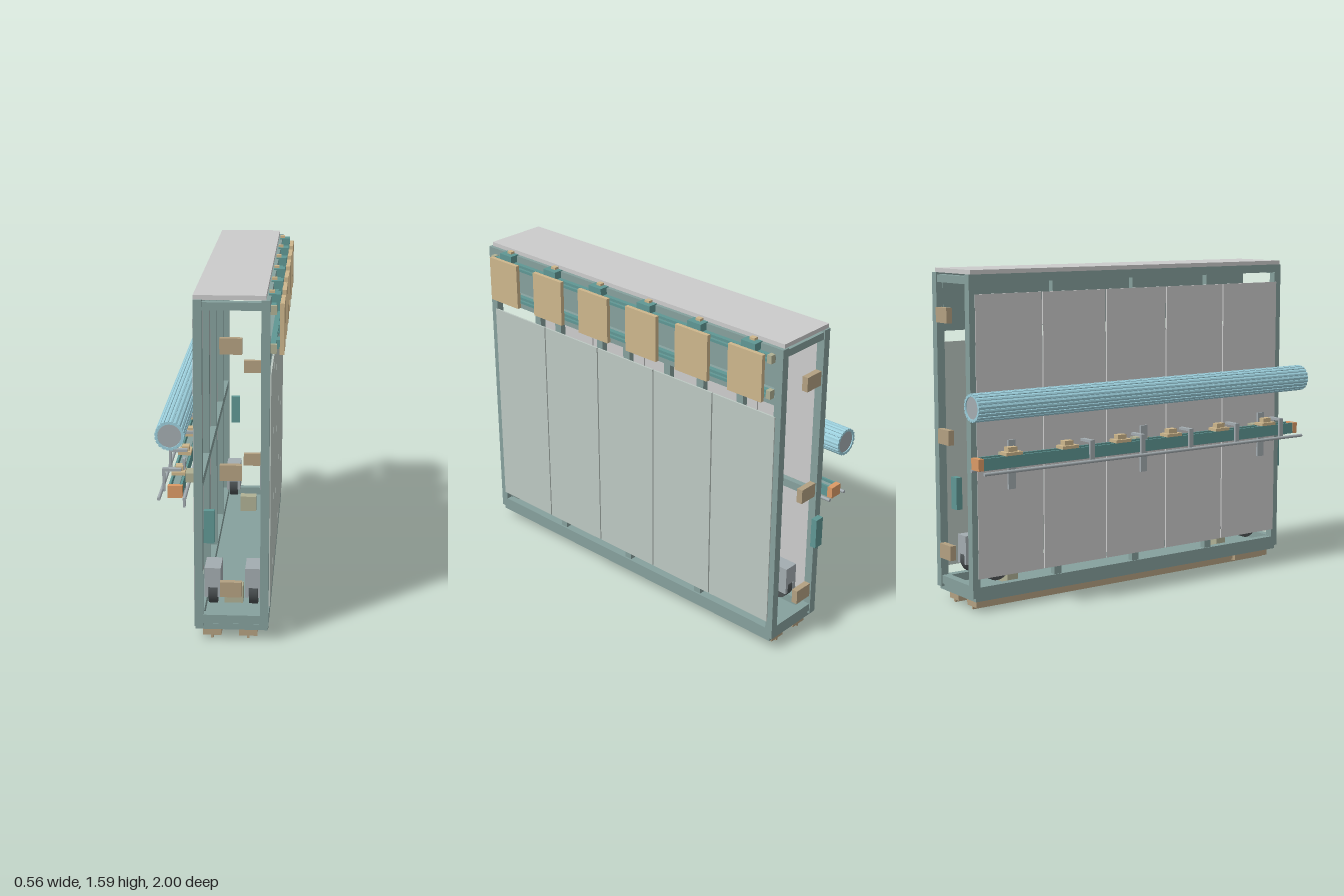
import * as THREE from 'three';

const mats = {};
const mat = (color) => (mats[color] ??= new THREE.MeshStandardMaterial({ color, side: THREE.DoubleSide }));
const FRAME = 0x86a09d, ROOF = 0xd0d4d1, PALE = 0xbcc8c2, GREY = 0xcccccc, TEAL = 0x5f9794,
  TAN = 0xcdb68c, BROWN = 0xb3a081, OLIVE = 0xafb094, BLUE = 0x9ccfdc, ORANGE = 0xdb9a66,
  STEEL = 0xa3acb0, DARK = 0x4c5254;

export function createModel() {
  const root = new THREE.Group();
  const group = (name) => {
    const g = new THREE.Group();
    g.name = name;
    root.add(g);
    return g;
  };
  // Box given by its limits on each axis
  const box = (parent, name, color, x0, x1, y0, y1, z0, z1) => {
    const m = new THREE.Mesh(new THREE.BoxGeometry(x1 - x0, y1 - y0, z1 - z0), mat(color));
    m.position.set((x0 + x1) / 2, (y0 + y1) / 2, (z0 + z1) / 2);
    m.name = name;
    parent.add(m);
  };
  const ends = [-1, 1];
  // Same box at both ends, z given as centre and half size
  const endBoxes = (parent, name, color, x0, x1, y0, y1, z, h) =>
    ends.forEach((s) => box(parent, name, color, x0, x1, y0, y1, s * z - h, s * z + h));
  const stations = [-0.78, -0.467, -0.156, 0.156, 0.467, 0.78];

  // Main frame: posts, long beams, cross bars, mullions
  const frame = group('frame');
  for (const [x0, x1] of [[-0.115, -0.077], [0.18, 0.218]]) {
    endBoxes(frame, 'cornerPost', FRAME, x0, x1, 0.12, 1.545, 0.925, 0.02);
    box(frame, 'bottomBeam', FRAME, x0, x1, 0.07, 0.12, -0.945, 0.945);
    box(frame, 'topBeam', FRAME, x0, x1, 1.53, 1.57, -0.945, 0.945);
  }
  for (const x0 of [-0.11, 0.18])
    for (const z of [-0.467, 0, 0.467])
      box(frame, 'mullion', FRAME, x0, x0 + 0.03, 0.12, x0 < 0 ? 1.53 : 1.31, z - 0.02, z + 0.02);
  endBoxes(frame, 'topCrossBar', FRAME, -0.09, 0.2, 1.525, 1.56, 0.92, 0.02);
  endBoxes(frame, 'bottomCrossBar', FRAME, -0.09, 0.19, 0.085, 0.125, 0.92, 0.02);
  box(frame, 'midBeam', FRAME, -0.11, -0.08, 0.71, 0.75, -0.91, 0.91);
  box(frame, 'upperBeam', FRAME, 0.18, 0.218, 1.295, 1.33, -0.91, 0.91);
  box(frame, 'upperPlate', FRAME, 0.178, 0.186, 1.31, 1.54, -0.91, 0.91);
  box(frame, 'basePlate', FRAME, -0.112, 0.215, 0.052, 0.08, -0.93, 0.93);
  box(frame, 'roof', ROOF, -0.115, 0.2, 1.57, 1.59, -0.937, 0.937);

  // Side panels, five per side
  const panels = group('panels');
  for (let i = 0; i < 5; i++) {
    const z = -0.915 + i * 0.367;
    box(panels, 'rightPanel', PALE, 0.214, 0.223, 0.16, 1.24, z, z + 0.36);
    box(panels, 'leftPanel', GREY, -0.119, -0.111, 0.16, 1.48, z, z + 0.36);
  }

  // Upper right rails with hanging boards
  const boards = group('boardRack');
  for (const y of [1.35, 1.52]) {
    box(boards, 'boardRail', TEAL, 0.216, 0.24, y - 0.017, y - 0.004, -0.9, 0.9);
    box(boards, 'boardRail', TEAL, 0.216, 0.24, y + 0.004, y + 0.017, -0.9, 0.9);
    box(boards, 'railCore', FRAME, 0.186, 0.228, y - 0.01, y + 0.01, -0.9, 0.9);
    endBoxes(boards, 'railStop', OLIVE, 0.216, 0.245, y - 0.02, y + 0.02, 0.89, 0.012);
  }
  for (const z of stations) {
    box(boards, 'board', TAN, 0.257, 0.277, 1.32, 1.545, z - 0.097, z + 0.097);
    box(boards, 'boardBracket', TEAL, 0.207, 0.258, 1.538, 1.575, z - 0.04, z + 0.04);
    box(boards, 'bracketCap', TAN, 0.208, 0.232, 1.575, 1.586, z - 0.014, z + 0.014);
    for (const y of [1.352, 1.52])
      box(boards, 'boardClip', TEAL, 0.238, 0.257, y - 0.02, y + 0.02, z - 0.035, z + 0.035);
  }

  // Boxes mounted outside each end
  const endUnits = group('endUnits');
  for (const y of [0.27, 0.815, 1.38])
    endBoxes(endUnits, 'endBlock', BROWN, 0.003, 0.1, y - 0.035, y + 0.035, 0.98, 0.015);
  endBoxes(endUnits, 'controlBox', TEAL, -0.068, -0.02, 0.49, 0.64, 0.983, 0.015);

  // Wheels with forks, and floor blocks
  const wheels = group('wheels');
  for (const x of [-0.04, 0.145])
    for (const s of ends) {
      const z = s * 0.78;
      const wheel = new THREE.Mesh(new THREE.CylinderGeometry(0.068, 0.068, 0.04, 32), mat(DARK));
      wheel.rotation.z = Math.PI / 2;
      wheel.position.set(x, 0.193, z);
      wheel.name = 'wheel';
      wheels.add(wheel);
      box(wheels, 'wheelHousing', STEEL, x - 0.037, x + 0.037, 0.222, 0.315, z - 0.07, z + 0.07);
      for (const side of ends)
        box(wheels, 'wheelFork', STEEL, x + side * 0.029 - 0.008, x + side * 0.029 + 0.008, 0.175, 0.222, z - 0.07, z + 0.07);
    }
  endBoxes(wheels, 'floorBlock', OLIVE, 0.003, 0.09, 0.08, 0.163, 0.653, 0.03);

  // Ground rails with wide end pads
  const tracks = group('groundRails');
  for (const x of [-0.038, 0.125]) {
    box(tracks, 'railBar', BROWN, x - 0.024, x + 0.024, 0.02, 0.052, -0.9, 0.9);
    endBoxes(tracks, 'railPad', BROWN, x - 0.042, x + 0.042, 0.014, 0.05, 0.795, 0.113);
    box(tracks, 'railLip', BROWN, x - 0.006, x + 0.006, 0, 0.02, -0.905, 0.905);
  }

  // Ribbed roller alongside the left wall
  const roller = group('roller');
  const outline = [];
  const ribs = 20;
  for (let i = 0; i < ribs; i++)
    for (const [t, r] of [[0, 0.06], [0.16, 0.06], [0.2, 0.064], [0.58, 0.066], [0.96, 0.064]]) {
      const a = ((i + t) / ribs) * Math.PI * 2;
      outline.push(new THREE.Vector2(Math.cos(a) * r, Math.sin(a) * r));
    }
  const tube = new THREE.Shape(outline);
  tube.holes.push(new THREE.Path().absarc(0, 0, 0.052, 0, Math.PI * 2, true));
  const shell = new THREE.Mesh(
    new THREE.ExtrudeGeometry(tube, { depth: 2, bevelEnabled: false, curveSegments: 24 }), mat(BLUE));
  shell.position.set(-0.215, 0.98, -1);
  shell.name = 'rollerShell';
  const core = new THREE.Mesh(new THREE.CylinderGeometry(0.052, 0.052, 1.99, 40), mat(STEEL));
  core.rotation.x = Math.PI / 2;
  core.position.set(-0.215, 0.98, 0);
  core.name = 'rollerCore';
  roller.add(shell, core);

  // Linear guide below the roller, held by wall brackets
  const guide = group('linearGuide');
  box(guide, 'guideBody', TEAL, -0.225, -0.165, 0.69, 0.715, -0.95, 0.95);
  box(guide, 'guideCore', FRAME, -0.21, -0.18, 0.715, 0.735, -0.95, 0.95);
  for (const x of [-0.225, -0.175])
    box(guide, 'guideFlange', TEAL, x, x + 0.01, 0.715, 0.745, -0.95, 0.95);
  endBoxes(guide, 'guideEnd', ORANGE, -0.228, -0.163, 0.69, 0.745, 0.96, 0.014);
  for (const z of [-0.765, 0, 0.765]) {
    box(guide, 'wallBracket', OLIVE, -0.165, -0.111, 0.708, 0.75, z - 0.04, z + 0.04);
    box(guide, 'uprightPlate', STEEL, -0.179, -0.168, 0.58, 0.81, z - 0.02, z + 0.02);
  }
  for (const z of stations) {
    box(guide, 'carriage', TAN, -0.225, -0.165, 0.745, 0.76, z - 0.045, z + 0.045);
    box(guide, 'carriageTop', TAN, -0.21, -0.175, 0.76, 0.782, z - 0.025, z + 0.025);
  }
  // Hooks carrying a thin rod
  for (let i = 0; i < 5; i++) {
    const z = -0.37 + i * 0.3;
    box(guide, 'hookArm', STEEL, -0.265, -0.18, 0.77, 0.782, z - 0.012, z + 0.012);
    box(guide, 'hookDrop', STEEL, -0.265, -0.253, 0.675, 0.782, z - 0.012, z + 0.012);
  }
  for (const [x, y] of [[-0.268, 0.682], [-0.155, 0.682]]) {
    const rod = new THREE.Mesh(new THREE.CylinderGeometry(0.008, 0.008, 1.94, 12), mat(STEEL));
    rod.rotation.x = Math.PI / 2;
    rod.position.set(x, y, 0);
    rod.name = 'guideRod';
    guide.add(rod);
  }
  return root;
}
